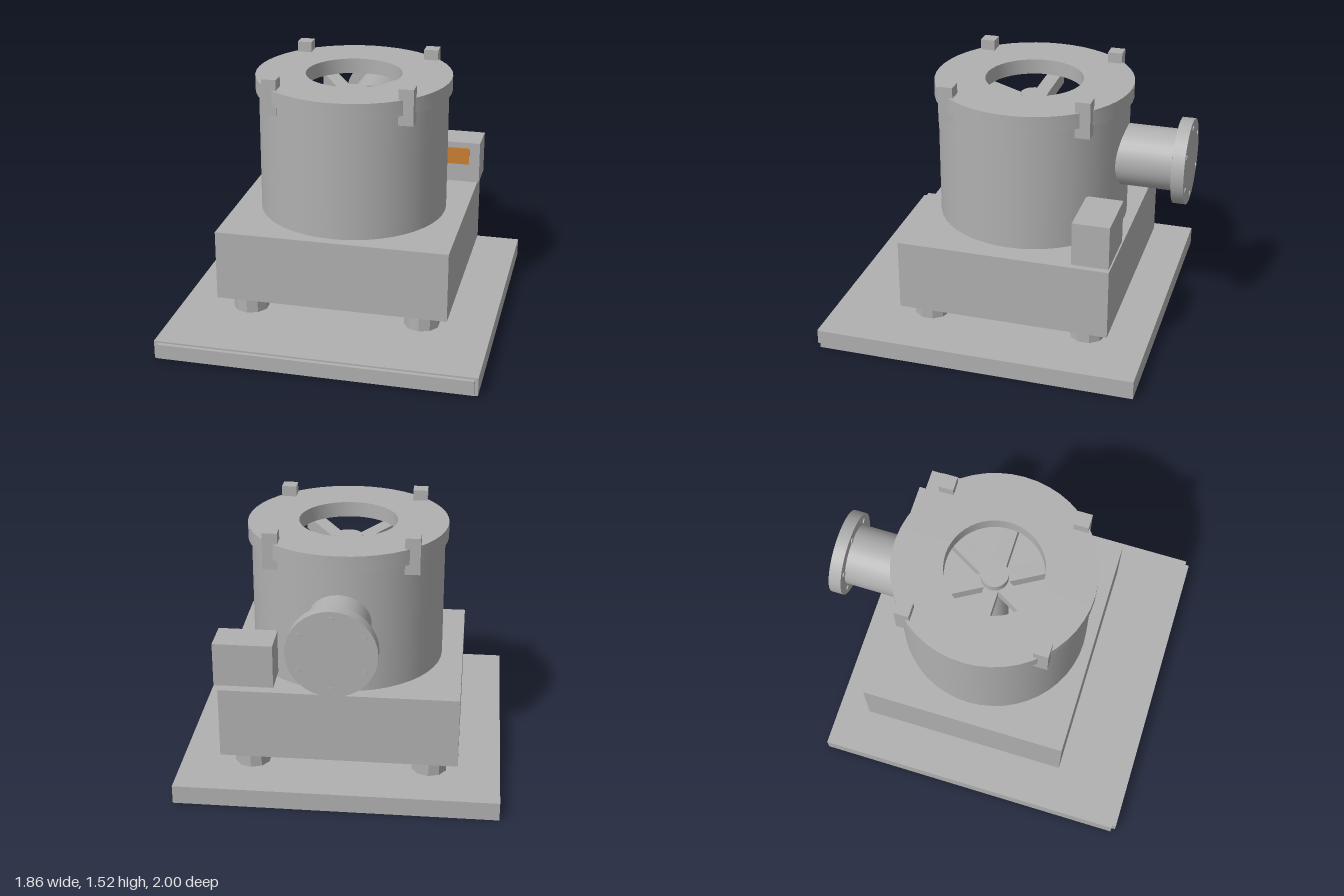
import * as THREE from 'three';
import { toCreasedNormals } from 'three/addons/utils/BufferGeometryUtils.js';

export function createModel() {
  const model = new THREE.Group();
  model.name = 'centrifuge';
  const steel = new THREE.MeshStandardMaterial({ color: 0xb0b0b0 });
  steel.name = 'steel grey';
  const amber = new THREE.MeshStandardMaterial({ color: 0xcc8033 });
  amber.name = 'panel orange';
  const axisZ = -0.06; // drum axis

  function add(name, geometry, x, y, z, material = steel, parent = model) {
    const mesh = new THREE.Mesh(geometry, material);
    mesh.name = name;
    mesh.position.set(x, y, z);
    parent.add(mesh);
    return mesh;
  }

  // Box given by its limits on each axis
  function box(name, x0, x1, y0, y1, z0, z1, material = steel) {
    return add(name, new THREE.BoxGeometry(x1 - x0, y1 - y0, z1 - z0),
      (x0 + x1) / 2, (y0 + y1) / 2, (z0 + z1) / 2, material);
  }

  // Base slab with front strip, and the housing on feet
  box('baseSlab', -0.93, 0.93, 0, 0.11, -0.89, 0.975);
  box('frontStrip', -0.91, 0.91, 0.012, 0.1, 0.975, 0.998);
  box('housing', -0.685, 0.685, 0.21, 0.63, -0.68, 0.56);
  const footGeometry = toCreasedNormals(new THREE.CylinderGeometry(0.105, 0.105, 0.1, 10), 0.3);
  for (const x of [-0.517, 0.517]) {
    for (const z of [0.42, -0.53]) add('foot', footGeometry, x, 0.16, z);
  }

  // Hollow drum
  add('drum', new THREE.CylinderGeometry(0.56, 0.56, 0.74, 48, 1, true), 0, 1.0, axisZ);

  // Ring lid with a central opening
  const lidProfile = [[0.285, 1.365], [0.58, 1.365], [0.58, 1.455], [0.285, 1.455], [0.285, 1.365]]
    .map(([r, y]) => new THREE.Vector2(r, y));
  add('lid', toCreasedNormals(new THREE.LatheGeometry(lidProfile, 48), 0.6), 0, 0, axisZ);

  // Clamps around the lid
  for (const x of [-0.395, 0.395]) {
    for (const z of [-0.395, 0.395]) {
      add('lidClamp', new THREE.BoxGeometry(0.086, 0.213, 0.086), x, 1.411, axisZ + z);
    }
  }

  // Rotor: hub and six radial spokes
  const rotor = new THREE.Group();
  rotor.name = 'rotor';
  rotor.position.z = axisZ;
  model.add(rotor);
  add('hub', new THREE.CylinderGeometry(0.08, 0.08, 0.73, 24), 0, 0.995, 0, steel, rotor);
  for (let i = 0; i < 6; i++) {
    const a = i * Math.PI / 3;
    const spoke = add('spoke', new THREE.BoxGeometry(0.46, 0.08, 0.085),
      Math.cos(a) * 0.29, 1.265, -Math.sin(a) * 0.29, steel, rotor);
    spoke.rotation.y = a;
  }

  // Rear outlet pipe with bolted flange
  const pipe = add('outletPipe', new THREE.CylinderGeometry(0.18, 0.18, 0.38, 32, 1, true), 0, 1.04, -0.75);
  pipe.rotation.x = Math.PI / 2;
  const flange = add('outletFlange', new THREE.CylinderGeometry(0.25, 0.25, 0.073, 32), 0, 1.04, -0.9585);
  flange.rotation.x = Math.PI / 2;
  const boltGeometry = new THREE.CylinderGeometry(0.016, 0.016, 0.085, 8);
  for (let i = 0; i < 6; i++) {
    const a = Math.PI / 6 + i * Math.PI / 3;
    const bolt = add('flangeBolt', boltGeometry, Math.cos(a) * 0.205, 1.04 + Math.sin(a) * 0.205, -0.9575);
    bolt.rotation.x = Math.PI / 2;
  }

  // Control box with its panel
  box('controlBox', 0.365, 0.705, 0.663, 0.92, -0.683, -0.47);
  box('controlPanel', 0.43, 0.64, 0.78, 0.885, -0.47, -0.461, amber);

  return model;
}
